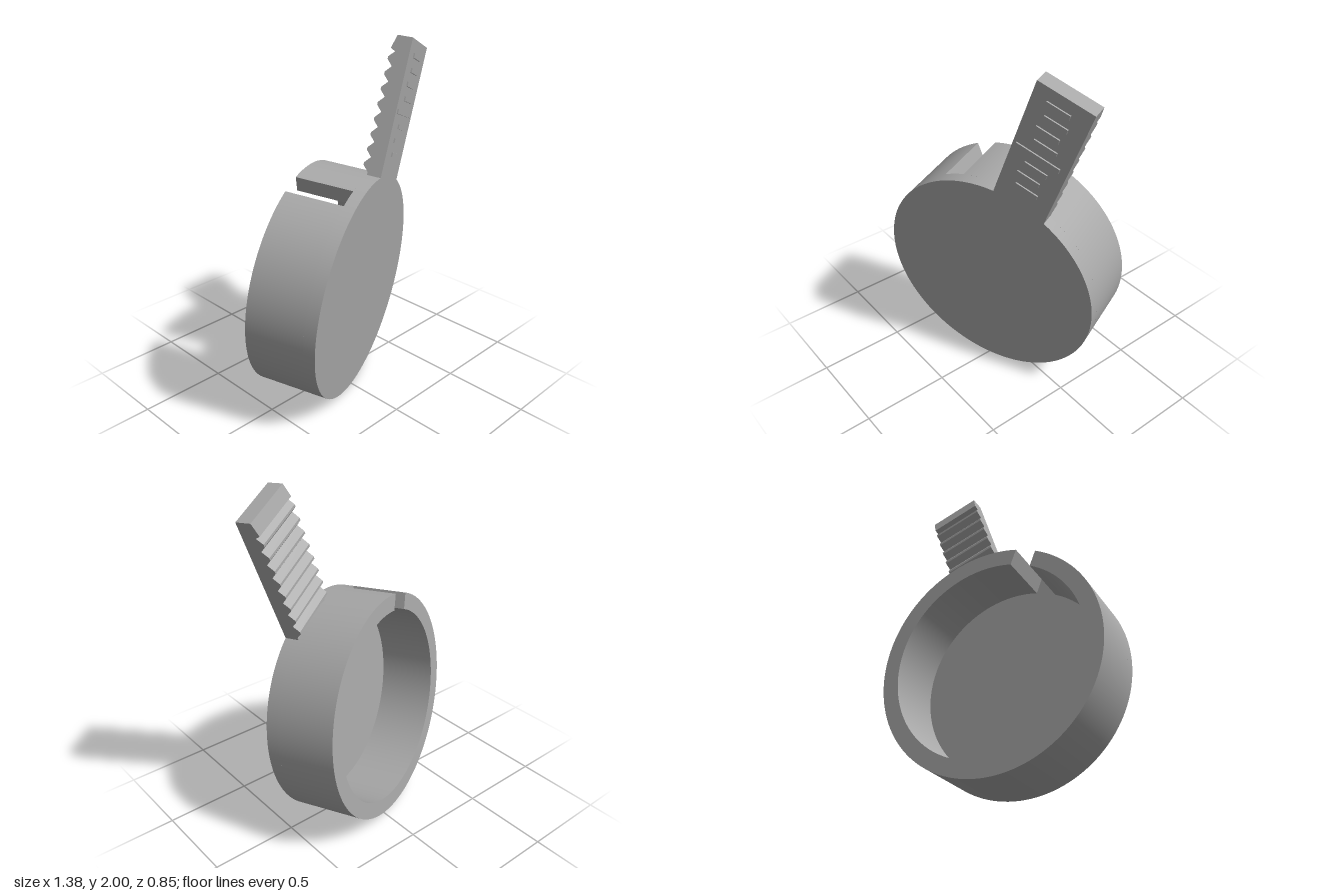
import * as THREE from 'three';
import { toCreasedNormals } from 'three/addons/utils/BufferGeometryUtils.js';

const OUTER = 0.648, INNER = 0.555, DEPTH = 0.399, WALL = 0.067;

export function createModel() {
  const grey = new THREE.MeshStandardMaterial({ color: 0xa8a8a8 });
  grey.name = 'plain grey';
  const model = new THREE.Group();
  model.name = 'slottedCupWithHandle';

  // tilted frame: x across the handle, y along it, z out of the closed face
  const body = new THREE.Group();
  body.name = 'tiltedBody';
  const n = new THREE.Vector3(0.363, -0.088, 0.927).normalize();
  const x = new THREE.Vector3(0.361, 0.932, -0.0525).cross(n).normalize();
  const y = n.clone().cross(x);
  body.quaternion.setFromRotationMatrix(new THREE.Matrix4().makeBasis(x, y, n));
  body.position.set(0.05, 0.645, 0.185);
  model.add(body);

  const add = (name, geometry) => {
    const mesh = new THREE.Mesh(geometry, grey);
    mesh.name = name;
    body.add(mesh);
    return mesh;
  };

  // closed front disc
  const disc = new THREE.CylinderGeometry(OUTER, OUTER, WALL, 128);
  disc.rotateX(Math.PI / 2).translate(0, 0, -WALL / 2);
  add('frontDisc', disc);

  // open ring with a parallel-sided slot
  const middle = Math.PI / 2 + THREE.MathUtils.degToRad(39.2);
  const halfSlot = 0.062;
  const a = Math.asin(halfSlot / OUTER), b = Math.asin(halfSlot / INNER);
  const ringShape = new THREE.Shape();
  ringShape.absarc(0, 0, OUTER, middle + a, middle + Math.PI * 2 - a, false);
  ringShape.absarc(0, 0, INNER, middle + Math.PI * 2 - b, middle + b, true);
  ringShape.closePath();
  const ring = new THREE.ExtrudeGeometry(ringShape, {
    depth: DEPTH - WALL, bevelEnabled: false, curveSegments: 120,
  });
  ring.translate(0, 0, -DEPTH);
  add('slottedRing', toCreasedNormals(ring, 0.5));

  // handle: side profile with a toothed back, extruded across its width
  const width = 0.31, pitch = 0.0825, start = 0.645;
  const profile = [[0, 0.58], [0.08, 0.58]];
  for (let i = 0; i < 8; i++) {
    const u = start + i * pitch;
    profile.push([0.08, u], [0.112, u + 0.034], [0.112, u + 0.048]);
  }
  const end = start + 8 * pitch;
  profile.push([0.08, end - 0.003], [0.108, end + 0.012], [0.086, 1.39], [0, 1.39]);
  const handle = new THREE.ExtrudeGeometry(
    new THREE.Shape(profile.map(([d, u]) => new THREE.Vector2(d, u))),
    { depth: width, bevelEnabled: false });
  handle.rotateY(Math.PI / 2).translate(-width / 2, 0, 0);
  add('toothedHandle', handle);

  // raised scale marks on the handle front, the long one in the middle
  for (let i = -3; i <= 4; i++) {
    const length = i === 0 ? 0.25 : 0.13;
    const mark = add(i === 0 ? 'longMark' : 'shortMark',
      new THREE.BoxGeometry(length, 0.026, 0.016));
    mark.position.set(i % 2 === 0 ? -0.012 : 0.004, 0.997 + i * 0.0778, 0);
  }
  return model;
}
